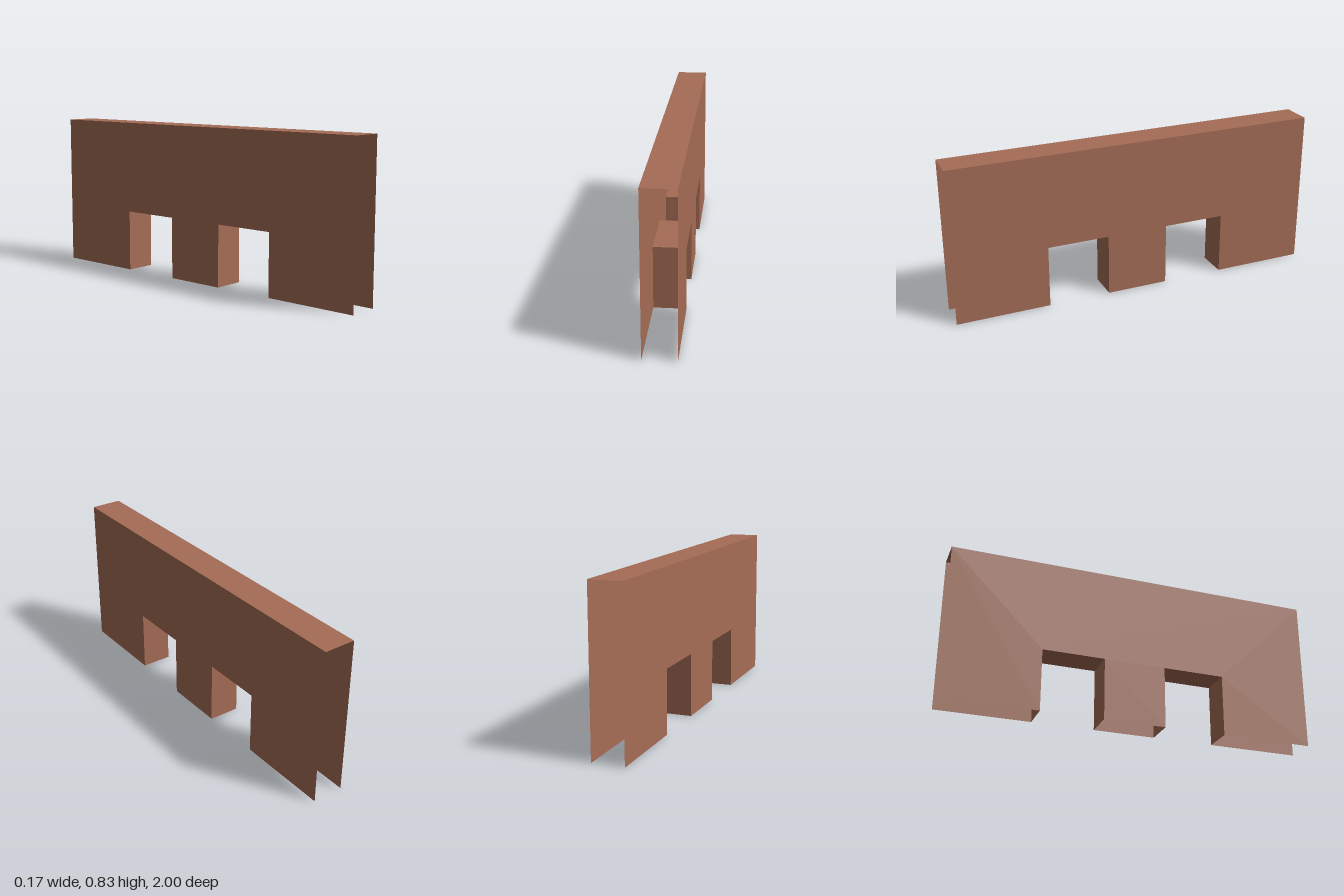
import * as THREE from 'three';

const HALF_LENGTH = 1, HALF_WIDTH = 1 / 12, HEIGHT = 5 / 6;
const OPEN_INNER = 1 / 6, OPEN_OUTER = 1 / 2, OPEN_HEIGHT = 1 / 3;

export function createModel() {
  const model = new THREE.Group();
  model.name = 'wallWithOpenings';
  const brick = new THREE.MeshStandardMaterial({ color: 0xa66d56, side: THREE.DoubleSide });
  brick.name = 'brick';

  const add = (name, geometry, parent = model) => {
    const mesh = new THREE.Mesh(geometry, brick);
    mesh.name = name;
    parent.add(mesh);
    return mesh;
  };

  // Wall outline with two rectangular openings cut up from the ground
  const outline = new THREE.Shape([
    [-HALF_LENGTH, 0], [-OPEN_OUTER, 0], [-OPEN_OUTER, OPEN_HEIGHT], [-OPEN_INNER, OPEN_HEIGHT],
    [-OPEN_INNER, 0], [OPEN_INNER, 0], [OPEN_INNER, OPEN_HEIGHT], [OPEN_OUTER, OPEN_HEIGHT],
    [OPEN_OUTER, 0], [HALF_LENGTH, 0], [HALF_LENGTH, HEIGHT], [-HALF_LENGTH, HEIGHT],
  ].map(([x, y]) => new THREE.Vector2(x, y)));

  // Two thin side faces; the ends and the feet stay open
  for (const [name, side] of [['leftFace', 1], ['rightFace', -1]]) {
    const face = add(name, new THREE.ShapeGeometry(outline).rotateY(side * Math.PI / 2));
    face.position.x = side * HALF_WIDTH;
  }

  // Top
  const top = new THREE.PlaneGeometry(2 * HALF_WIDTH, 2 * HALF_LENGTH).rotateX(-Math.PI / 2);
  add('top', top).position.y = HEIGHT;

  // Lining of each opening: two jambs and a ceiling
  const openWidth = OPEN_OUTER - OPEN_INNER;
  for (const [name, side] of [['frontOpening', 1], ['backOpening', -1]]) {
    const opening = new THREE.Group();
    opening.name = name;
    opening.position.z = side * (OPEN_INNER + OPEN_OUTER) / 2;
    model.add(opening);
    for (const [jambName, end] of [['frontJamb', 1], ['backJamb', -1]]) {
      const jamb = new THREE.PlaneGeometry(2 * HALF_WIDTH, OPEN_HEIGHT);
      if (end > 0) jamb.rotateY(Math.PI); // faces into the opening
      add(jambName, jamb, opening).position.set(0, OPEN_HEIGHT / 2, end * openWidth / 2);
    }
    const ceiling = new THREE.PlaneGeometry(2 * HALF_WIDTH, openWidth).rotateX(Math.PI / 2);
    add('ceiling', ceiling, opening).position.y = OPEN_HEIGHT;
  }
  return model;
}
